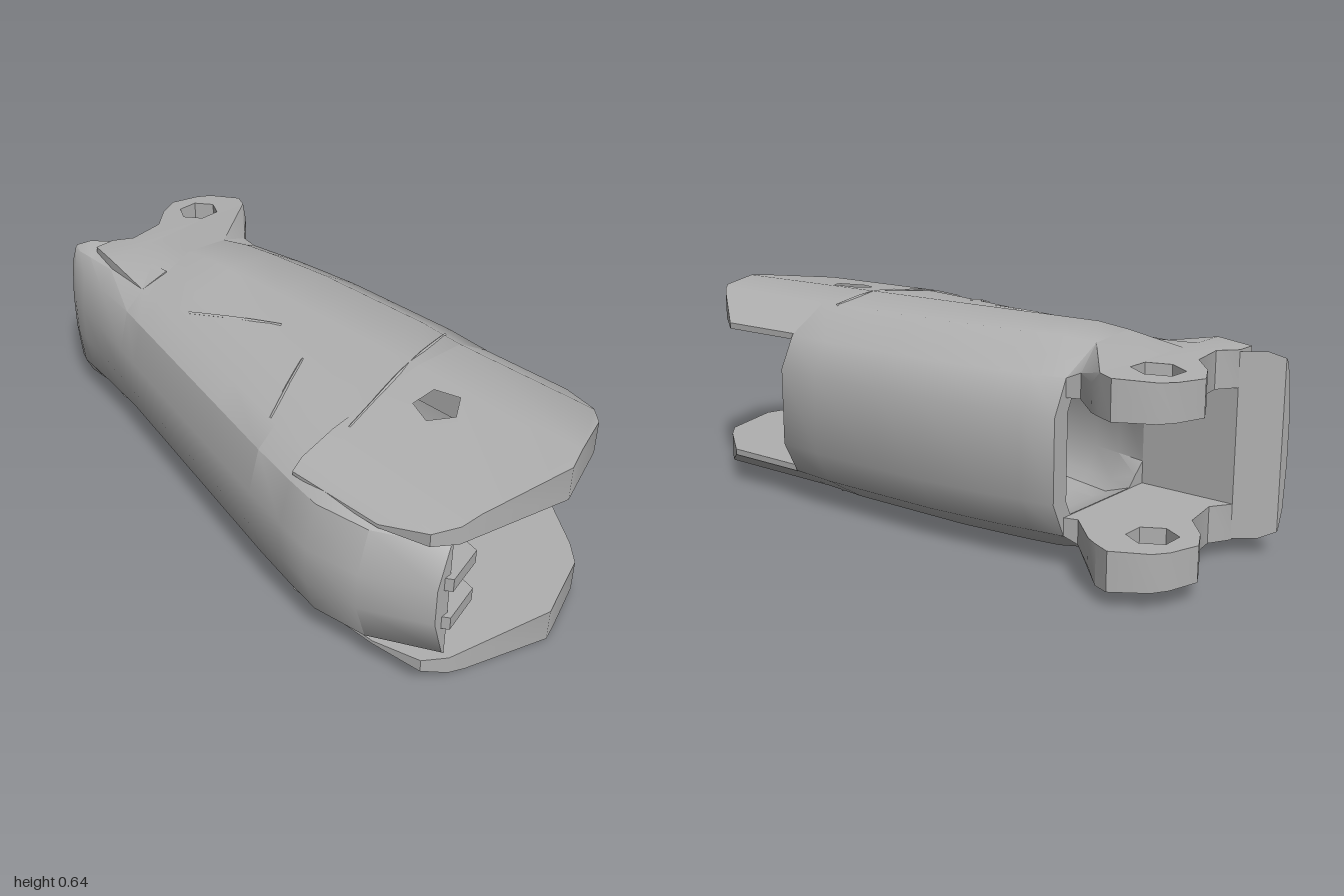
import * as THREE from 'three';
import { toCreasedNormals, mergeGeometries } from 'three/addons/utils/BufferGeometryUtils.js';

const H = 0.64; // everything is symmetric about y = H / 2

// Piecewise linear lookup in [[key, value], ...] with rising keys
function lerpTable(table, k) {
  if (k <= table[0][0]) return table[0][1];
  for (let i = 1; i < table.length; i++) {
    const [k0, v0] = table[i - 1], [k1, v1] = table[i];
    if (k <= k1) return v0 + (v1 - v0) * (k - k0) / (k1 - k0);
  }
  return table[table.length - 1][1];
}

// Plan outline of the shell: outer left, outer right, inner left, fork front
const leftX = z => lerpTable([[-1, -0.14], [-0.96, -0.16], [-0.78, -0.2], [-0.6, -0.245], [0.25, -0.455], [0.41, -0.49], [0.53, -0.512], [0.7, -0.49], [0.89, -0.39]], z);
const rightX = z => lerpTable([[-0.6, 0.42], [-0.4, 0.45], [-0.17, 0.47], [0.3, 0.47], [0.41, 0.455]], z);
const innerX = z => lerpTable([[-1, -0.1], [-0.9, -0.02], [-0.6, -0.03], [0.41, -0.31], [0.89, -0.34]], z);
const forkFront = [[-0.44, 0.72], [-0.4, 0.87], [-0.34, 0.91], [0, 1], [0.22, 0.93], [0.28, 0.87], [0.4, 0.71]];

// Upper half of the rounded cross-section, left to right
function upperOuter(z) {
  const l = leftX(z), r = rightX(z), s = z < -0.55 ? 0.012 : 0;
  return [[l, 0.38], [l + 0.04, 0.51], [l + 0.11, 0.565], [l + 0.23, 0.597 - s / 2],
    [0.07, H - s], [r - 0.19, 0.625 - s], [r - 0.05, 0.54], [r, 0.44]];
}
function upperInner(z) {
  const l = innerX(z), r = rightX(z) - 0.06, t = z < -0.5 ? 0.485 : 0.522;
  return [[l, 0.42], [l + 0.04, t - 0.03], [l + 0.07, t], [l + 0.15, t],
    [0.08, t], [r - 0.15, t], [r - 0.02, t], [r, t - 0.04]];
}
// Close a half section by mirroring it to the underside
const loop = (half, z) => [...half, ...half.slice().reverse().map(([x, y]) => [x, H - y])]
  .map(([x, y]) => [x, y, z]);

// Skin through successive loops, running front to back
function loft(sections, closed = false) {
  const pos = [], n = sections[0].length, m = sections.length;
  for (let i = 0; i < (closed ? m : m - 1); i++) {
    const A = sections[i], B = sections[(i + 1) % m];
    for (let j = 0; j < n; j++) {
      const k = (j + 1) % n;
      pos.push(...A[j], ...A[k], ...B[k], ...A[j], ...B[k], ...B[j]);
    }
  }
  const g = new THREE.BufferGeometry();
  g.setAttribute('position', new THREE.Float32BufferAttribute(pos, 3));
  return g;
}
function solidLoft(sections) {
  const collapse = s => {
    const c = [0, 1, 2].map(a => s.reduce((t, p) => t + p[a], 0) / s.length);
    return s.map(() => c);
  };
  return loft([collapse(sections[0]), ...sections, collapse(sections[sections.length - 1])]);
}

// Prism from a plan outline of [x, z] points; yOf(x, z, isTop) sets the heights
function plate(outline, holes, yOf) {
  const pts = a => a.map(([x, z]) => new THREE.Vector2(x, -z));
  const shape = new THREE.Shape(pts(outline));
  holes.forEach(h => shape.holes.push(new THREE.Path(pts(h))));
  const g = new THREE.ExtrudeGeometry(shape, { depth: 1, bevelEnabled: false });
  g.rotateX(-Math.PI / 2);
  const p = g.attributes.position;
  for (let i = 0; i < p.count; i++) p.setY(i, yOf(p.getX(i), p.getZ(i), p.getY(i) > 0.5));
  return g;
}
const ring = (cx, cz, r, n, turn) => Array.from({ length: n }, (_, i) => {
  const a = turn + i / n * Math.PI * 2;
  return [cx + r * Math.cos(a), cz + r * Math.sin(a)];
});

export function createModel() {
  const group = new THREE.Group();
  const grey = new THREE.MeshStandardMaterial({ color: 0xb0b0b0 });
  const add = (name, g, crease = 0.6) => {
    const mesh = new THREE.Mesh(toCreasedNormals(g, crease), grey);
    mesh.name = name;
    group.add(mesh);
  };

  // Hollow middle: outer skin to the back, inner skin to the front
  const zs = [0.41, 0.25, 0, -0.17, -0.4, -0.5, -0.6];
  const tube = loft([...zs.map(z => loop(upperOuter(z), z)),
    ...zs.slice().reverse().map(z => loop(upperInner(z), z))], true);

  // Solid side wall carried on past both ends of the tube
  const wall = list => solidLoft(list.map(z => {
    const l = leftX(z), xi = innerX(z);
    const f = lerpTable([[-1, 0.3], [-0.6, 1]], z); // tighter rounding towards the rear tip
    const top = z < -0.6 ? 0.588 : 0.597;
    const profile = [[l, 0.38], [l + 0.04 * f, 0.51], [l + 0.11 * f, 0.565], [l + 0.23 * f, top]];
    const half = profile.slice(0, 3).map(([x]) => Math.min(x, xi)).map(x => [x, lerpTable(profile, x)]);
    half.push([xi, lerpTable(profile, xi)]);
    return loop(half, z);
  }));
  add('shell', mergeGeometries([tube, wall([0.89, 0.7, 0.53, 0.41]), wall([-0.6, -0.78, -0.9, -0.96, -1])]));

  const frontTop = x => lerpTable(upperOuter(0.53), x);
  const neckTop = (x, z) => {
    const t = Math.min(1, (-0.6 - z) / 0.18);
    return lerpTable(upperOuter(-0.6), x) * (1 - t) + 0.6 * t;
  };
  const earTop = (x, z) => 0.6 + (z + 0.78) * 0.06;

  // Front fork is cut into strips that follow the curve of the shell
  const strips = [-0.44, -0.402, -0.282, 0.07, 0.265, 0.4];
  // Neck runs from the end of the tube to the ear plate
  const neckA = upperOuter(-0.6).slice(2, 7).map(p => [p[0], -0.6]);
  const neckB = [-0.12, 0, 0.08, 0.24, 0.485].map(x => [x, -0.78]);
  const ear = [...neckB, [0.51, -0.83], [0.46, -0.93], [0.42, -0.96], [0.33, -0.99],
    [0.25, -0.95], [0.17, -0.88], [0.04, -0.86], [-0.02, -0.9], [-0.09, -0.9]];
  // Hole lies just behind the neck line
  const earHole = ring(0.34, -0.86, 0.07, 6, 0);

  for (const upper of [true, false]) {
    const side = upper ? 'upper' : 'lower';
    const heights = (top, inner) => (x, z, isTop) => upper
      ? (isTop ? top(x, z) : inner) : (isTop ? H - inner : H - top(x, z));

    add(side + 'FrontFork', mergeGeometries(strips.slice(1).map((x1, i) => {
      const x0 = strips[i];
      const rim = forkFront.filter(([x]) => x > x0 + 0.003 && x < x1 - 0.003).reverse();
      const outline = [[x0, 0.41], [x1, 0.41], [x1, lerpTable(forkFront, x1)], ...rim, [x0, lerpTable(forkFront, x0)]];
      return plate(outline, i === 2 ? [ring(-0.03, 0.57, 0.07, 5, 0.4)] : [], heights(frontTop, 0.524));
    })));

    const neck = neckA.slice(1).map((a, i) => {
      const notch = i === 3 ? [[0.36, -0.64], [0.46, -0.74]] : [];
      return plate([neckA[i], a, ...notch, neckB[i + 1], neckB[i]], [], heights(neckTop, 0.487));
    });
    add(side + 'RearEar', mergeGeometries([...neck, plate(ear, [earHole], heights(earTop, 0.487))]));

    // Fine raised seams on the outer skin
    const seams = [[-0.25, 0.44, 0.28, 0.34], [-0.34, 0.22, -0.11, 0.12], [-0.14, -0.36, -0.03, -0.05]];
    seams.forEach(([x0, z0, x1, z1]) => {
      const pts = [0, 0.25, 0.5, 0.75, 1].map(t => {
        const x = x0 + (x1 - x0) * t, z = z0 + (z1 - z0) * t;
        const y = Math.min(lerpTable(upperOuter(z), x), H - 0.005);
        return new THREE.Vector3(x, upper ? y : H - y, z);
      });
      add(side + 'Seam', new THREE.TubeGeometry(new THREE.CatmullRomCurve3(pts), 8, 0.005, 4));
    });
  }

  // Slotted catch inside the front fork: two prongs, a shorter core and a solid end
  const prong = [[-0.42, 0.53], [0.05, 0.53], [-0.16, 0.6], [-0.22, 0.88], [-0.35, 0.91], [-0.42, 0.8]];
  const core = [[-0.42, 0.53], [-0.06, 0.53], [-0.21, 0.58], [-0.28, 0.82], [-0.42, 0.78]];
  const end = [[-0.42, 0.42], [0.13, 0.42], [0.05, 0.53], [-0.42, 0.53]];
  const slab = (y0, y1) => (x, z, isTop) => (isTop ? y1 : y0);
  add('upperProng', plate(prong, [], slab(0.367, 0.41)));
  add('lowerProng', plate(prong, [], slab(0.23, 0.273)));
  add('catchCore', plate(core, [], slab(0.273, 0.367)));
  add('catchEnd', plate(end, [], slab(0.23, 0.41)));
  return group;
}
